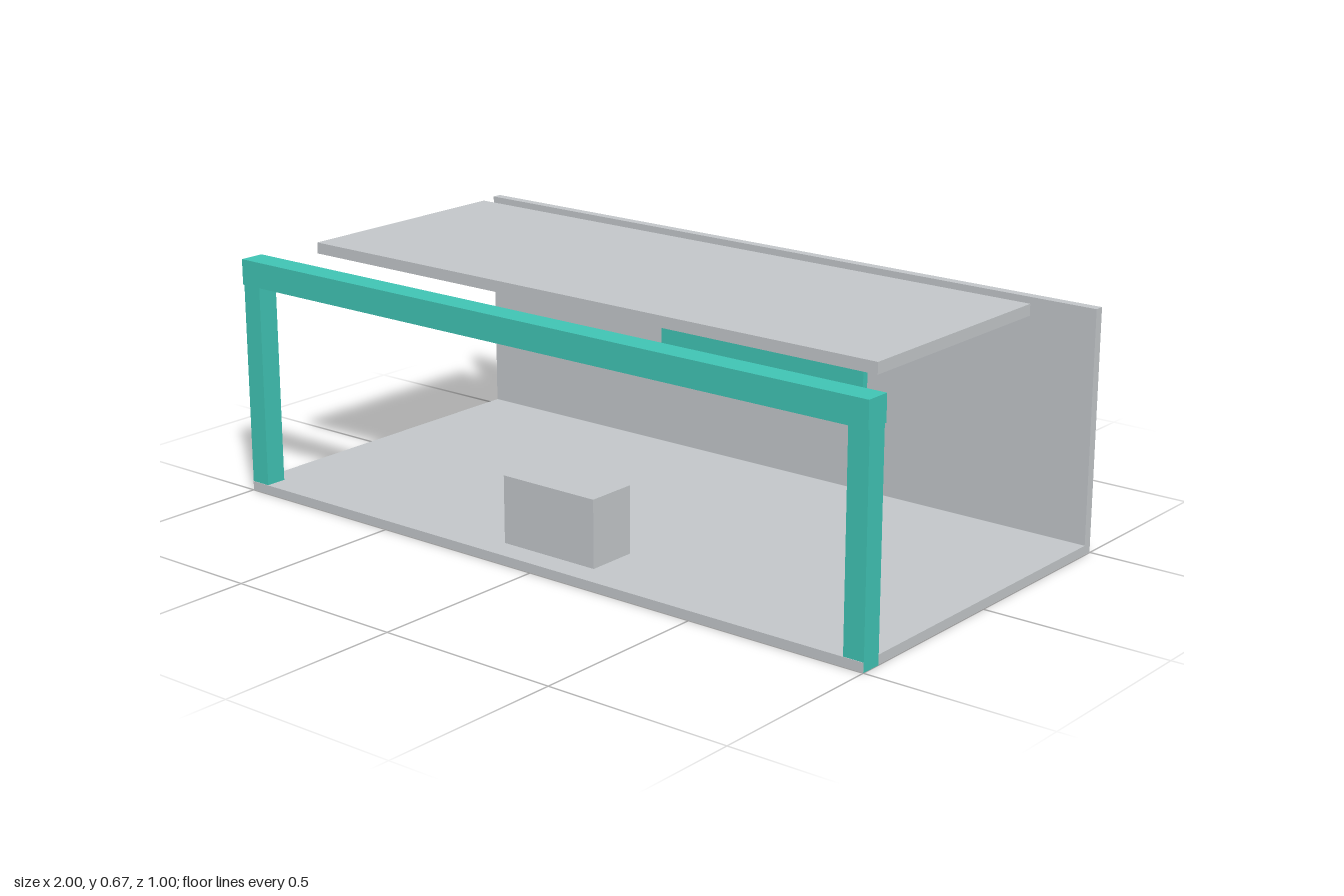
import * as THREE from 'three';

export function createModel() {
  const root = new THREE.Group();
  root.name = 'exhibitionBooth';

  const grey = new THREE.MeshStandardMaterial({ color: 0xc3c7ca });
  grey.name = 'light grey';
  const teal = new THREE.MeshStandardMaterial({ color: 0x40c4b4 });
  teal.name = 'teal';
  const slate = new THREE.MeshStandardMaterial({ color: 0x3d5a73 });
  slate.name = 'dark slate';

  // Box given by its extents along each axis
  const box = (name, material, [x0, x1], [y0, y1], [z0, z1]) => {
    const mesh = new THREE.Mesh(new THREE.BoxGeometry(x1 - x0, y1 - y0, z1 - z0), material);
    mesh.position.set((x0 + x1) / 2, (y0 + y1) / 2, (z0 + z1) / 2);
    mesh.name = name;
    root.add(mesh);
  };

  // Floor, back wall and floating ceiling panel
  box('floor', grey, [-0.999, 0.999], [0.0005, 0.025], [-0.5, 0.5]);
  box('backWall', grey, [-0.999, 0.999], [0.025, 0.641], [-0.5, -0.474]);
  box('ceilingPanel', grey, [-0.9, 0.9], [0.639, 0.669], [-0.325, 0.325]);

  // Front portal: two posts and a slightly deeper beam
  box('leftPost', teal, [0.943, 1], [0, 0.573], [0.44, 0.4985]);
  box('rightPost', teal, [-1, -0.943], [0, 0.573], [0.44, 0.4985]);
  box('portalBeam', teal, [-1, 1], [0.573, 0.642], [0.434, 0.503]);

  // Reception counter
  box('counter', grey, [-0.147, 0.147], [0.025, 0.205], [0.29, 0.43]);

  // Wall display with a dark backing plate
  box('displayBacking', slate, [-0.33, 0.33], [0.229, 0.515], [-0.467, -0.455]);
  box('displayPanel', teal, [-0.34, 0.34], [0.213, 0.531], [-0.455, -0.436]);

  return root;
}
